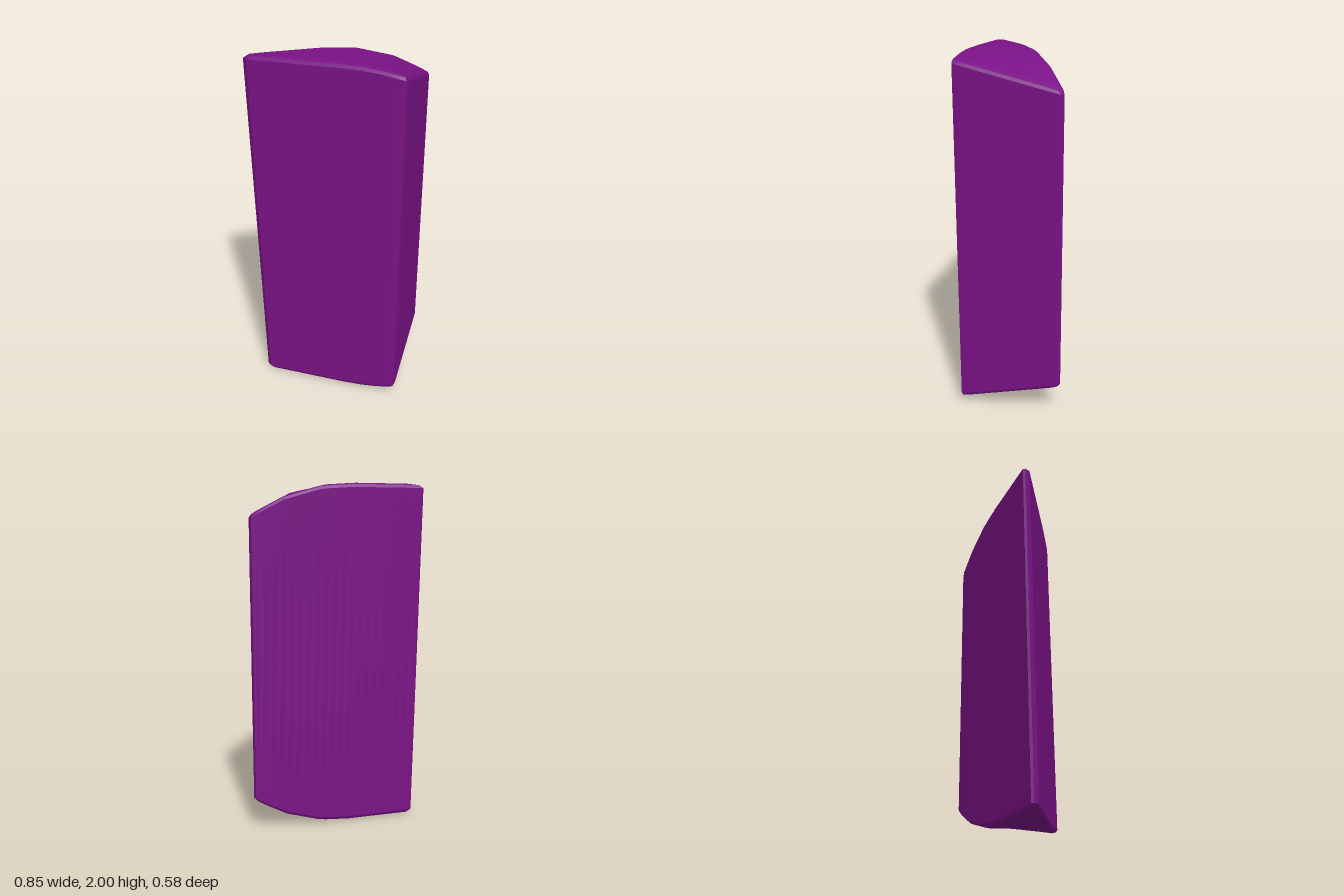
import * as THREE from 'three';
import { toCreasedNormals } from 'three/addons/utils/BufferGeometryUtils.js';

// Triangular outline (x, z) with blunted corners
const CORNERS = [
  [-0.43, 0.255], [-0.43, 0.27], [-0.405, 0.29],
  [0.4, 0.29], [0.419, 0.284], [0.425, 0.26],
  [0.425, -0.28], [0.405, -0.293], [0.375, -0.28],
];
const CENTRE = [0.22, 0.09];

// Piecewise linear lookup in [x, value] pairs
function lookup(table, x) {
  if (x <= table[0][0]) return table[0][1];
  for (let i = 1; i < table.length; i++) {
    const [x0, v0] = table[i - 1], [x1, v1] = table[i];
    if (x <= x1) return v0 + (v1 - v0) * (x - x0) / (x1 - x0);
  }
  return table[table.length - 1][1];
}

// How far the end face falls away along the front edge and the slanted edge
const FRONT_DROP = [[0.1, 0], [0.2, 0.003], [0.3, 0.014], [0.42, 0.035]];
const SLANT_DROP = [[-0.08, 0], [0.07, 0.013], [0.25, 0.075], [0.41, 0.175]];

function endDrop(x, z) {
  const depth = Math.max(0.02, (x + 0.43) * 0.68);
  const w = THREE.MathUtils.clamp((0.29 - z) / depth, 0, 1);
  return THREE.MathUtils.lerp(lookup(FRONT_DROP, x), lookup(SLANT_DROP, x), w);
}

// Subdivide the long sides so that the ends can curve
function makeOutline() {
  const points = [];
  CORNERS.forEach(([x, z], i) => {
    const [nx, nz] = CORNERS[(i + 1) % CORNERS.length];
    const steps = Math.max(1, Math.round(Math.hypot(nx - x, nz - z) / 0.05));
    for (let k = 0; k < steps; k++) {
      points.push([x + (nx - x) * k / steps, z + (nz - z) * k / steps]);
    }
  });
  return points;
}

function wedgeGeometry() {
  const outline = makeOutline();
  const n = outline.length;
  // [scale towards centre, edge rounding]
  const cap = [[0, 0], [0.2, 0], [0.4, 0], [0.6, 0], [0.75, 0], [0.86, 0], [0.96, 0.008], [1, 0.025]];
  const rings = [
    ...cap.map(([s, r]) => ({ s, r, top: false })),
    ...cap.slice().reverse().map(([s, r]) => ({ s, r, top: true })),
  ];
  const positions = [], index = [];
  for (const { s, r, top } of rings) {
    for (const [ox, oz] of outline) {
      const x = CENTRE[0] + (ox - CENTRE[0]) * s;
      const z = CENTRE[1] + (oz - CENTRE[1]) * s;
      const inset = endDrop(x, z) + r;
      const y = top ? 2 - inset : inset;
      // The sharp edge leans in slightly towards the bottom
      const lean = 1 - 0.053 * (1 - y / 2);
      positions.push(0.425 - (0.425 - x) * lean, y, z);
    }
  }
  for (let i = 0; i < rings.length - 1; i++) {
    for (let j = 0; j < n; j++) {
      const a = i * n + j, b = i * n + (j + 1) % n;
      if (rings[i].s > 0) index.push(a, b, b + n);
      if (rings[i + 1].s > 0) index.push(a, b + n, a + n);
      else if (rings[i].s > 0) continue;
    }
  }
  const geometry = new THREE.BufferGeometry();
  geometry.setAttribute('position', new THREE.Float32BufferAttribute(positions, 3));
  geometry.setIndex(index);
  return toCreasedNormals(geometry, 0.4);
}

export function createModel() {
  const group = new THREE.Group();
  group.name = 'wedgeBlock';
  const material = new THREE.MeshStandardMaterial({ color: 0x7a1285 });
  const body = new THREE.Mesh(wedgeGeometry(), material);
  body.name = 'wedgeBody';
  group.add(body);
  return group;
}
